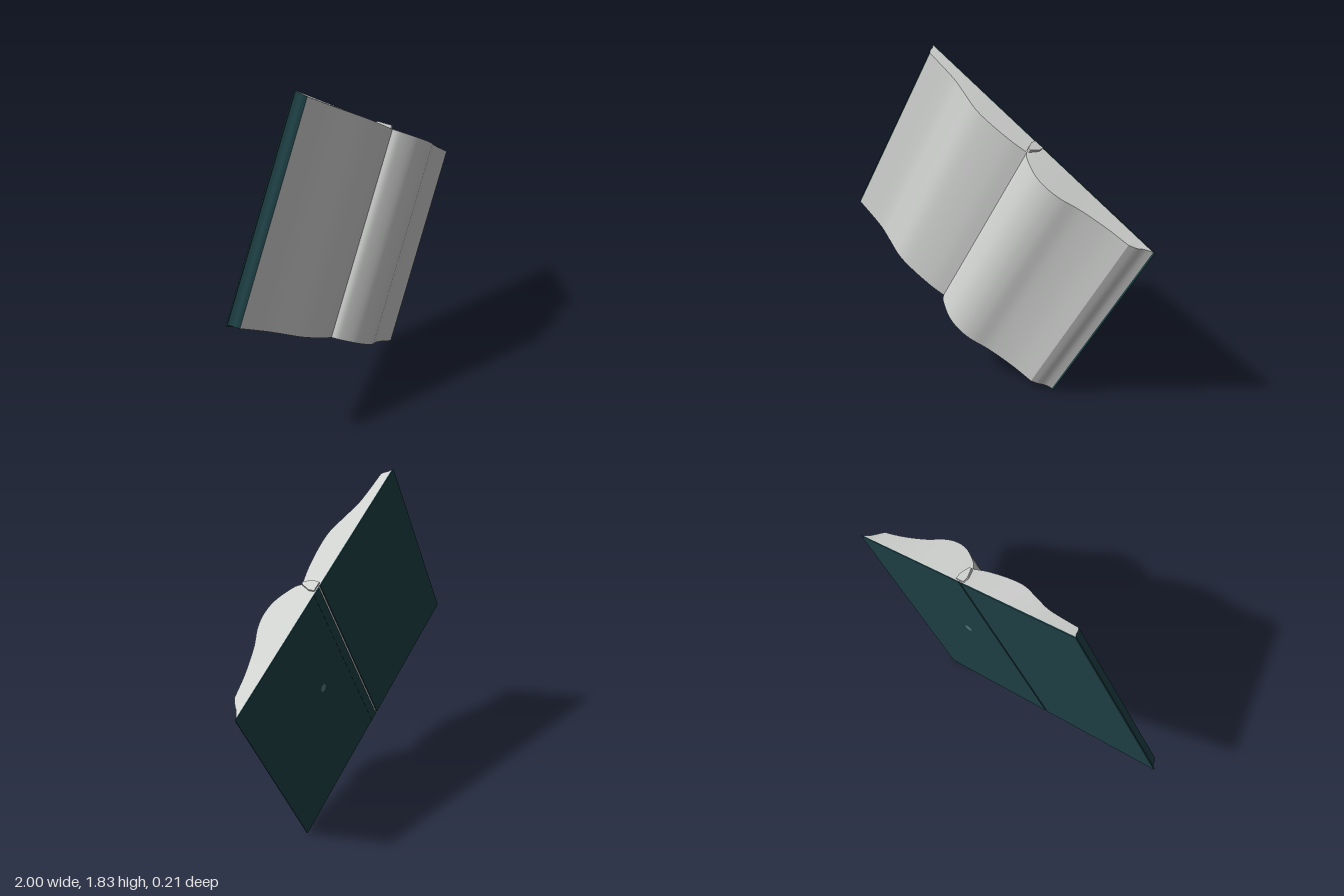
import * as THREE from 'three';

const pageMat = new THREE.MeshStandardMaterial({ color: 0xd0d2d0, side: THREE.DoubleSide });
pageMat.name = 'paper';
const coverMat = new THREE.MeshStandardMaterial({ color: 0x1e4045, side: THREE.DoubleSide });
coverMat.name = 'dark teal cover';
const spotMat = new THREE.MeshStandardMaterial({ color: 0x5f7878 });
spotMat.name = 'worn spot';

const BACK = -0.098;   // back of the page block
const HALF_W = 0.813;
const HALF_H = 0.594;

// Smooth strip between two equally long rows of points
function ruled(a, b) {
  const pos = [], index = [];
  a.forEach((p, i) => {
    pos.push(...p.toArray(), ...b[i].toArray());
    if (i) {
      const k = 2 * i;
      index.push(k - 2, k - 1, k, k, k - 1, k + 1);
    }
  });
  const g = new THREE.BufferGeometry();
  g.setAttribute('position', new THREE.Float32BufferAttribute(pos, 3));
  g.setIndex(index);
  g.computeVertexNormals();
  return g;
}

// The page ends lean back slightly, so the open face is a little shorter
const topY = z => 0.592 - 0.012 * Math.min(1, (z - BACK) / 0.05);
const bottomY = () => -0.586;
const row = (pts, yOf) => pts.map(p => new THREE.Vector3(p.x, yOf(p.y), p.y));

function curve(points, n) {
  return new THREE.SplineCurve(points.map(p => new THREE.Vector2(...p))).getPoints(n);
}

// One half of the open pages: curved sheet, fore edge and closed ends
function pageBlock(name, sheet, fore, foreMat) {
  const group = new THREE.Group();
  group.name = name;
  const add = (label, geo, mat) => {
    const m = new THREE.Mesh(geo, mat);
    m.name = label;
    group.add(m);
  };
  const face = curve(sheet, 40), edge = curve(fore, 8);
  add('openPage', ruled(row(face, topY), row(face, bottomY)), pageMat);
  add('foreEdge', ruled(row(edge, topY), row(edge, bottomY)), foreMat);
  const outline = [...face, ...edge];
  const base = outline.map(p => new THREE.Vector2(p.x, BACK));
  for (const [label, yOf] of [['topEdge', topY], ['bottomEdge', bottomY]])
    add(label, ruled(row(outline, yOf), row(base, yOf)), pageMat);
  const back = [base[0], base[base.length - 1]];
  add('pageBack', ruled(row(back, topY), row(back, bottomY)), pageMat);
  return group;
}

export function createModel() {
  const root = new THREE.Group();
  root.name = 'openBook';
  const book = new THREE.Group();
  book.name = 'tiltedBook';
  book.rotation.z = -0.511;
  book.position.y = 0.917;
  root.add(book);

  // Pages, listed from the spine outwards as [across, forward]
  book.add(pageBlock('rightPages',
    [[0, 0], [-0.1, 0.022], [-0.24, 0.036], [-0.35, 0.033], [-0.47, 0], [-0.58, -0.028], [-0.775, -0.045]],
    [[-0.775, -0.045], [-0.788, -0.06], [-0.795, -0.08], [-0.808, BACK]], coverMat));
  book.add(pageBlock('leftPages',
    [[0, 0], [0.03, 0.035], [0.128, 0.086], [0.22, 0.1], [0.31, 0.085], [0.415, 0.042], [0.565, 0.002], [0.7, -0.02]],
    [[0.7, -0.02], [0.735, -0.045], [0.765, -0.075], [0.803, BACK]], pageMat));

  // Cover boards and spine, leaving a narrow pale gap beside the spine
  for (const [name, x0, x1, z0] of [
    ['rightCover', -HALF_W, -0.014, -0.105],
    ['spine', 0, 0.05, -0.105],
    ['leftCover', 0.05, HALF_W, -0.104],
  ]) {
    const depth = BACK - 0.0005 - z0;
    const m = new THREE.Mesh(new THREE.BoxGeometry(x1 - x0, 2 * HALF_H, depth), coverMat);
    m.name = name;
    m.position.set((x0 + x1) / 2, 0, z0 + depth / 2);
    book.add(m);
  }

  // Small tapered headband at the top of the spine
  const shape = new THREE.Shape();
  shape.moveTo(-0.028, -0.092);
  shape.lineTo(0.028, -0.092);
  shape.lineTo(0.03, -0.06);
  shape.lineTo(0.008, -0.008);
  shape.lineTo(-0.008, -0.008);
  shape.lineTo(-0.03, -0.06);
  const headband = new THREE.Mesh(
    new THREE.ExtrudeGeometry(shape, { depth: 0.03, bevelEnabled: false }), pageMat);
  headband.name = 'headband';
  headband.rotation.x = Math.PI / 2;
  headband.position.y = 0.6;
  book.add(headband);

  // Worn spot on the back of the cover
  const spot = new THREE.Mesh(new THREE.CircleGeometry(0.022, 12), spotMat);
  spot.name = 'wornSpot';
  spot.rotation.y = Math.PI;
  spot.position.set(0.26, 0.06, -0.1055);
  book.add(spot);

  return root;
}
